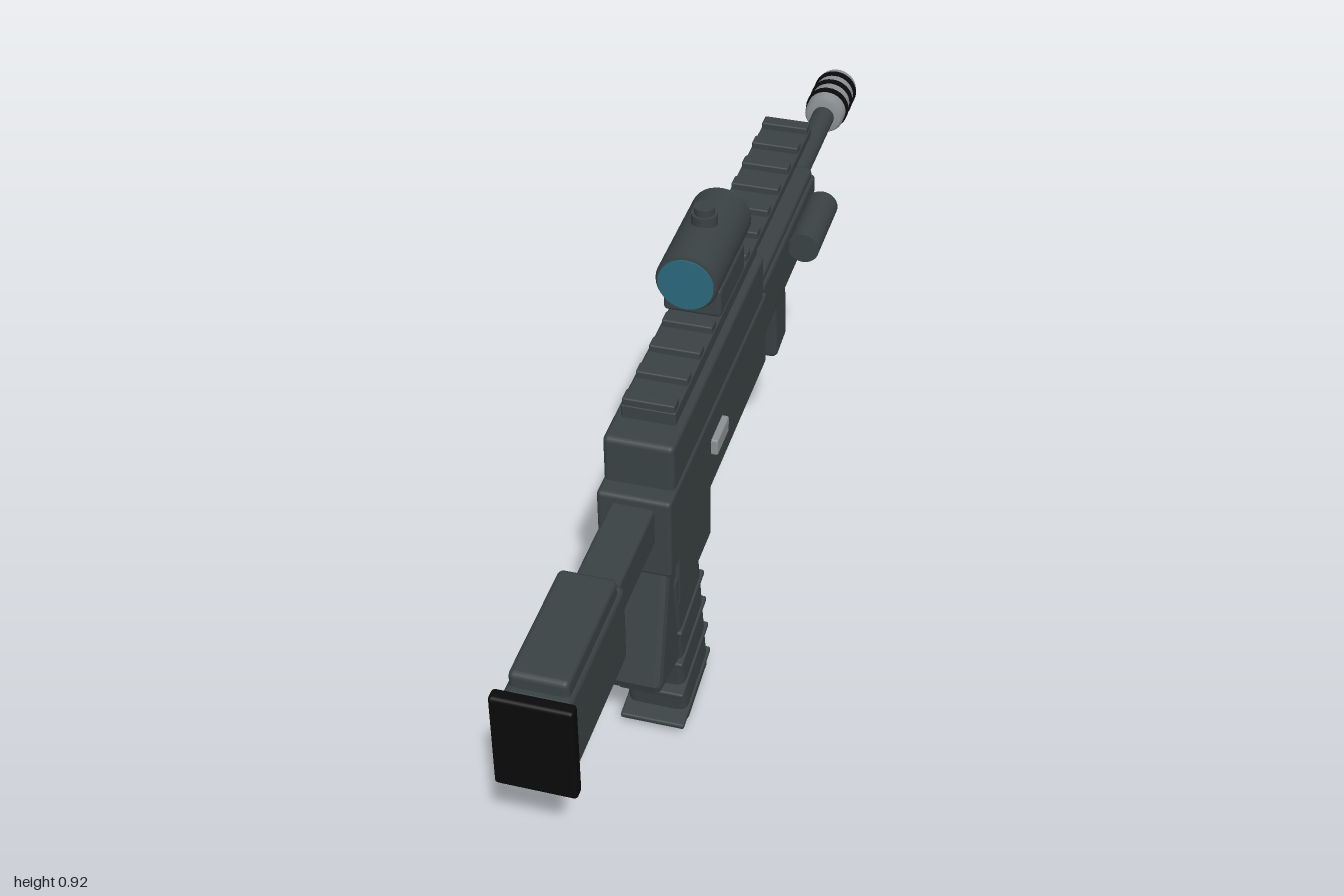
import * as THREE from 'three';
import { RoundedBoxGeometry } from 'three/addons/geometries/RoundedBoxGeometry.js';

const CX = -0.007; // centre line of the barrel and scope

export function createModel() {
  const root = new THREE.Group();
  root.name = 'toyRifle';
  const mat = (name, color) => {
    const m = new THREE.MeshStandardMaterial({ color });
    m.name = name;
    return m;
  };
  const body = mat('darkSlate', 0x3a4243);
  const black = mat('rubberBlack', 0x0a0a0a);
  const steel = mat('steelGrey', 0x8d9092);
  const glass = mat('tealGlass', 0x2a677c);
  const amber = mat('amberGlass', 0xb9832c);

  const add = (name, geo, m, parent = root) => {
    const mesh = new THREE.Mesh(geo, m);
    mesh.name = name;
    parent.add(mesh);
    return mesh;
  };
  // Rounded box given by its extents
  const box = (name, [x0, x1], [y0, y1], [z0, z1], m = body, r = 0.008, parent = root) => {
    const w = x1 - x0, h = y1 - y0, d = z1 - z0;
    const mesh = add(name, new RoundedBoxGeometry(w, h, d, 2, Math.min(r, w / 2.1, h / 2.1, d / 2.1)), m, parent);
    mesh.position.set((x0 + x1) / 2, (y0 + y1) / 2, (z0 + z1) / 2);
    return mesh;
  };
  // Cylinder along z from z0 to z1
  const rod = (name, x, y, r, z0, z1, m = body) => {
    const mesh = add(name, new THREE.CylinderGeometry(r, r, z1 - z0, 32).rotateX(Math.PI / 2), m);
    mesh.position.set(x, y, (z0 + z1) / 2);
    return mesh;
  };
  // Lathe along z; points are [radius, z]
  const turned = (name, x, y, pts, m) => {
    const mesh = add(name, new THREE.LatheGeometry(pts.map(([r, z]) => new THREE.Vector2(r, z)), 32).rotateX(Math.PI / 2), m);
    mesh.position.set(x, y, 0);
    return mesh;
  };
  // Bevelled side profile of [z, y] points, extruded across x
  const profile = (name, pts, width, bevel, m) => {
    const geo = new THREE.ExtrudeGeometry(new THREE.Shape(pts.map(([z, y]) => new THREE.Vector2(z, y))), {
      depth: width - 2 * bevel, bevelSize: bevel, bevelThickness: bevel, bevelOffset: -bevel, bevelSegments: 2,
    });
    geo.translate(0, 0, -(width - 2 * bevel) / 2).rotateY(-Math.PI / 2);
    const mesh = add(name, geo, m);
    mesh.position.x = CX;
    return mesh;
  };

  // Stock
  box('buttPad', [-0.072, 0.06], [0.468, 0.65], [0.976, 1.0], black, 0.006);
  box('stockBody', [-0.061, 0.047], [0.482, 0.64], [0.7, 0.98], body, 0.014);
  box('cheekRest', [-0.055, 0.041], [0.62, 0.667], [0.72, 0.96], body, 0.01);
  box('stockTube', [-0.046, 0.03], [0.54, 0.615], [0.48, 0.72], body, 0.008);

  // Receiver
  box('lowerReceiver', [-0.07, 0.058], [0.47, 0.632], [-0.135, 0.495]);
  box('upperReceiver', [-0.068, 0.054], [0.6, 0.72], [-0.125, 0.46], body, 0.01);
  box('rightSideBlock', [-0.112, -0.06], [0.61, 0.685], [-0.235, -0.12]);
  box('leftButton', [0.05, 0.07], [0.545, 0.578], [0.175, 0.25], steel, 0.004);
  box('rightButton', [-0.09, -0.06], [0.518, 0.556], [0.33, 0.39], steel, 0.004);

  // Handguard
  box('handguardTop', [-0.058, 0.044], [0.62, 0.652], [-0.545, -0.11], body, 0.01);
  box('handguardBody', [-0.066, 0.05], [0.52, 0.636], [-0.55, -0.11], body, 0.01);
  box('handguardBase', [-0.06, 0.046], [0.503, 0.528], [-0.55, -0.11], body, 0.008);

  // Top rail with teeth
  box('railBase', [-0.054, 0.04], [0.715, 0.745], [-0.125, 0.4], body, 0.003);
  box('railFront', [-0.054, 0.04], [0.725, 0.745], [-0.54, -0.12], body, 0.003);
  for (let i = 0; i < 13; i++) {
    const z = 0.385 - i * 0.0757;
    box('railTooth', [-0.052, 0.038], [0.74, 0.758], [z - 0.014, z + 0.014], body, 0.003);
  }

  // Scope
  box('scopeMount', [-0.059, 0.045], [0.756, 0.815], [-0.02, 0.14], body, 0.008);
  turned('scopeTube', CX, 0.842, [[0, -0.055], [0.05, -0.055], [0.055, -0.049], [0.055, 0.169], [0.05, 0.175], [0, 0.175]], body);
  rod('rearLens', CX, 0.842, 0.049, 0.172, 0.178, glass);
  rod('frontLens', CX, 0.842, 0.049, -0.058, -0.052, glass);
  for (const [r, y0, y1] of [[0.023, 0.88, 0.913], [0.018, 0.9, 0.926]]) {
    add('scopeKnob', new THREE.CylinderGeometry(r, r, y1 - y0, 24), body).position.set(CX, (y0 + y1) / 2, 0.058);
  }

  // Barrel and muzzle
  const by = 0.58;
  rod('barrel', CX, by, 0.023, -0.87, -0.54);
  rod('barrelCollar', CX, by, 0.042, -0.565, -0.54, steel);
  rod('barrelCollarTip', CX, by, 0.034, -0.582, -0.56, steel);
  turned('muzzle', CX, by, [[0, -1], [0.035, -1], [0.041, -0.992], [0.041, -0.868], [0.035, -0.86], [0, -0.86]], steel);
  for (const z of [-0.97, -0.935, -0.898]) rod('muzzleRing', CX, by, 0.045, z - 0.006, z + 0.006, black);
  rod('gasRod', -0.01, 0.649, 0.011, -0.672, -0.5, steel);

  // Side lamp
  rod('lamp', 0.077, 0.6, 0.031, -0.495, -0.335);
  rod('lampLens', 0.077, 0.6, 0.027, -0.5, -0.493, amber);
  box('lampMount', [0.04, 0.065], [0.585, 0.615], [-0.46, -0.36], body, 0.004);

  // Foregrip
  const foregrip = box('foregrip', [-0.045, 0.031], [0.333, 0.55], [-0.403, -0.317], body, 0.012);
  foregrip.rotation.x = 0.12;

  // Rear grip, well and trigger
  profile('rearGrip', [[0.465, 0.48], [0.528, 0.24], [0.522, 0.222], [0.42, 0.2], [0.33, 0.3], [0.33, 0.48]], 0.104, 0.012, body);
  box('magazineWell', [-0.065, 0.051], [0.34, 0.49], [0.22, 0.43], body, 0.01);
  rod('trigger', CX, 0.432, 0.012, 0.202, 0.225);

  // Slanted magazine with ribs
  const magazine = new THREE.Group();
  magazine.name = 'magazine';
  magazine.position.set(CX, 0.222, 0.343);
  magazine.rotation.x = 0.17;
  root.add(magazine);
  box('magazineBody', [-0.056, 0.056], [-0.21, 0.21], [-0.074, 0.074], body, 0.016, magazine);
  for (let i = 0; i < 4; i++) {
    const y = -0.168 + i * 0.077;
    box('magazineRib', [-0.06, 0.06], [y - 0.006, y + 0.006], [-0.077, 0.108 - i * 0.012], body, 0.004, magazine);
  }
  return root;
}
